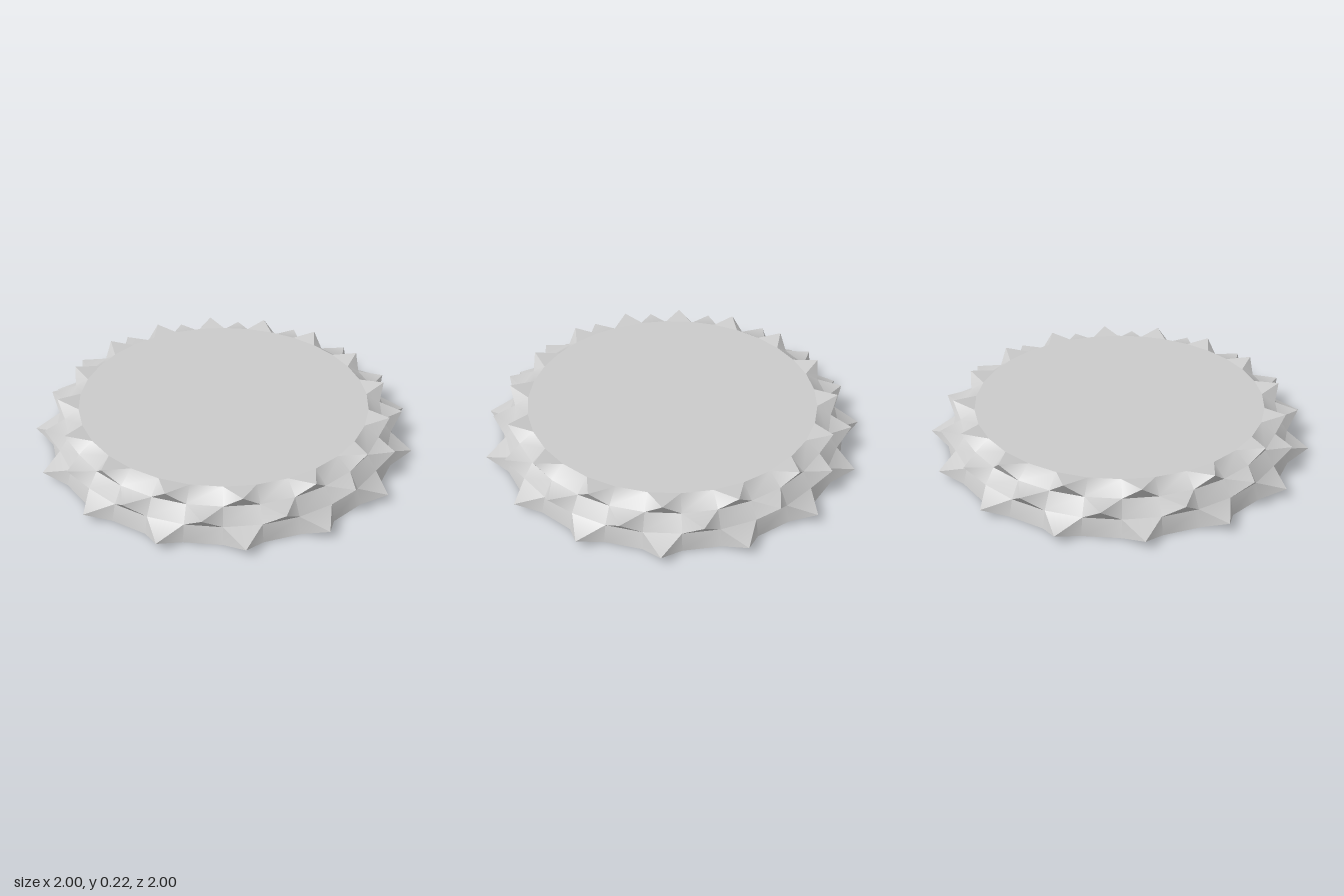
import * as THREE from 'three';
import { toCreasedNormals } from 'three/addons/utils/BufferGeometryUtils.js';

const SEGMENTS = 32;
const STEP = (Math.PI * 2) / SEGMENTS;

// Wall rings from the open bottom to the top rim: [radius, height]
const RINGS = [[0.913, 0], [0.887, 0.082], [0.835, 0.155], [0.76, 0.205]];
// Spike tip of each row between two rings
const TIPS = [[1.0, 0.05], [0.94, 0.158], [0.868, 0.225]];

const polar = ([r, y], a) => [r * Math.sin(a), y, r * Math.cos(a)];

// Checkerboard wall: every second panel is drawn out to a hollow pyramid
function spikedWall() {
  const positions = [];
  const tri = (...corners) => corners.forEach((c) => positions.push(...c));
  TIPS.forEach((tip, row) => {
    for (let i = 0; i < SEGMENTS; i++) {
      const mid = i * STEP;
      const a0 = mid - STEP / 2;
      const a1 = mid + STEP / 2;
      const quad = [
        polar(RINGS[row], a0), polar(RINGS[row], a1),
        polar(RINGS[row + 1], a1), polar(RINGS[row + 1], a0),
      ];
      if ((i + row) % 2 === 0) {
        const apex = polar(tip, mid);
        quad.forEach((corner, k) => tri(corner, quad[(k + 1) % 4], apex));
      } else {
        tri(quad[0], quad[1], quad[2]);
        tri(quad[0], quad[2], quad[3]);
      }
    }
  });
  const geometry = new THREE.BufferGeometry();
  geometry.setAttribute('position', new THREE.Float32BufferAttribute(positions, 3));
  return toCreasedNormals(geometry, THREE.MathUtils.degToRad(40));
}

export function createModel() {
  const group = new THREE.Group();
  group.name = 'spikedDisc';
  const material = new THREE.MeshStandardMaterial({ color: 0xcccccc, side: THREE.DoubleSide });

  const wall = new THREE.Mesh(spikedWall(), material);
  wall.name = 'spikedWall';
  group.add(wall);

  // Flat top; its corners meet the corners of the top ring
  const [radius, height] = RINGS[RINGS.length - 1];
  const top = new THREE.Mesh(
    new THREE.CircleGeometry(radius, SEGMENTS, STEP / 2).rotateX(-Math.PI / 2),
    material,
  );
  top.position.y = height;
  top.name = 'topPlate';
  group.add(top);

  return group;
}
